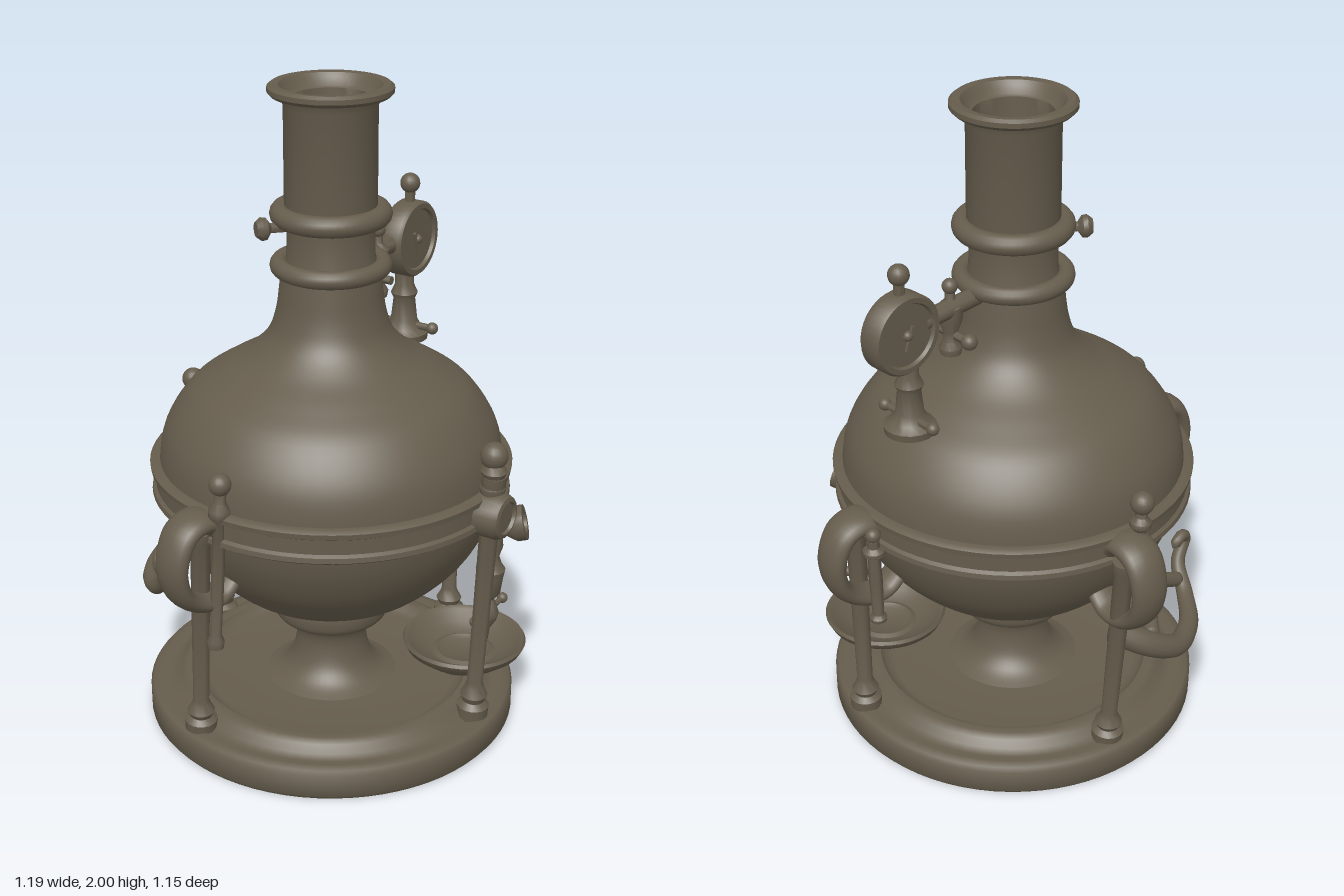
import * as THREE from 'three';
import { mergeVertices, toCreasedNormals } from 'three/addons/utils/BufferGeometryUtils.js';

const V = (x, y, z) => new THREE.Vector3(x, y, z);
const UP = V(0, 1, 0);

export function createModel() {
  const root = new THREE.Group();
  root.name = 'distillingVessel';
  const bronze = new THREE.MeshStandardMaterial({ color: 0x655c4c });
  bronze.name = 'darkBronze';

  const add = (name, geo, parent = root) => {
    const m = new THREE.Mesh(geo, bronze);
    m.name = name;
    parent.add(m);
    return m;
  };
  // Turned part from [radius, height] pairs, listed from bottom to top
  const turned = (pts, seg = 24) => toCreasedNormals(
    new THREE.LatheGeometry(pts.map(([r, y]) => new THREE.Vector2(r, y)), seg), 0.75);
  // Same, with the points joined by a smooth curve
  const smoothTurned = (pts, seg, n) => new THREE.LatheGeometry(
    new THREE.SplineCurve(pts.map(([r, y]) => new THREE.Vector2(r, y))).getPoints(n), seg);
  const ball = (name, r, p, parent) => {
    const m = add(name, new THREE.SphereGeometry(r, 16, 12), parent);
    m.position.copy(p);
    return m;
  };
  // Turned part set along the line a-b; heights are fractions of its length
  const spindle = (name, a, b, pts, parent) => {
    const d = b.clone().sub(a), len = d.length();
    const m = add(name, turned(pts.map(([r, t]) => [r, t * len]), 18), parent);
    m.position.copy(a);
    m.quaternion.setFromUnitVectors(UP, d.normalize());
    return m;
  };
  const rod = (name, a, b, r, parent) => spindle(name, a, b, [[0, 0], [r, 0], [r, 1], [0, 1]], parent);
  // Tapered tube with closed ends
  const taperedTube = (pts, radius, seg = 48, sides = 14) => {
    const curve = new THREE.CatmullRomCurve3(pts);
    const g = new THREE.TubeGeometry(curve, seg, 1, sides);
    const p = g.attributes.position, v = V(0, 0, 0);
    for (let i = 0; i <= seg; i++) {
      const c = curve.getPointAt(i / seg);
      const r = i === 0 || i === seg ? 0.0005 : radius(i / seg);
      for (let j = 0; j <= sides; j++) {
        const k = i * (sides + 1) + j;
        v.fromBufferAttribute(p, k).sub(c).multiplyScalar(r).add(c);
        p.setXYZ(k, v.x, v.y, v.z);
      }
    }
    g.deleteAttribute('uv');
    g.deleteAttribute('normal');
    const out = mergeVertices(g, 1e-5);
    out.computeVertexNormals();
    return out;
  };

  // Main axis of the vessel
  const core = new THREE.Group();
  core.name = 'vessel';
  core.position.set(-0.01, 0, 0.02);
  root.add(core);

  // Round base, dished underneath, with a raised inner ring on top
  add('base', turned([[0, 0.045], [0.15, 0.045], [0.17, 0.06], [0.48, 0.045], [0.53, 0.01], [0.565, 0.005],
    [0.577, 0.02], [0.577, 0.09], [0.567, 0.102], [0.54, 0.106], [0.515, 0.1], [0.49, 0.108], [0.475, 0.132],
    [0.455, 0.143], [0.43, 0.14], [0.415, 0.118], [0.39, 0.112], [0.2, 0.112], [0, 0.115]], 72), core);

  // Pedestal
  add('pedestal', smoothTurned([[0.21, 0.11], [0.16, 0.135], [0.125, 0.18], [0.11, 0.25], [0.125, 0.3],
    [0.17, 0.325], [0.182, 0.36], [0.182, 0.395], [0.19, 0.42], [0.25, 0.44]], 48, 40), core);

  // Bulb
  add('bulb', smoothTurned([[0.15, 0.4], [0.2, 0.41], [0.3, 0.45], [0.41, 0.55], [0.475, 0.65], [0.51, 0.75],
    [0.52, 0.85], [0.5, 0.97], [0.43, 1.08], [0.34, 1.145], [0.25, 1.2], [0.19, 1.26], [0.163, 1.33],
    [0.15, 1.42], [0.145, 1.47]], 72, 72), core);

  // Chimney with flared lip and hollow top
  add('chimney', turned([[0.145, 1.44], [0.13, 1.5], [0.128, 1.6], [0.135, 1.65], [0.135, 1.94], [0.145, 1.965],
    [0.17, 1.968], [0.18, 1.978], [0.18, 1.992], [0.17, 2], [0.148, 1.998], [0.138, 1.985], [0.125, 1.965],
    [0.115, 1.96], [0.112, 1.9], [0, 1.9]], 48), core);
  for (const [y, r, t] of [[1.625, 0.147, 0.031], [1.47, 0.152, 0.027]]) {
    const m = add('neckRing', new THREE.TorusGeometry(r, t, 14, 48), core);
    m.rotation.x = Math.PI / 2;
    m.position.y = y;
  }
  spindle('neckKnob', V(-0.13, 1.6, 0.05), V(-0.235, 1.6, 0.065),
    [[0, 0], [0.016, 0], [0.014, 0.6], [0.032, 0.72], [0.034, 0.85], [0.022, 1], [0, 1]]);

  // Band around the belly
  add('band', turned([[0.49, 0.77], [0.53, 0.765], [0.545, 0.775], [0.543, 0.79], [0.533, 0.797], [0.533, 0.842],
    [0.547, 0.85], [0.549, 0.866], [0.535, 0.875], [0.505, 0.872], [0.5, 0.86]], 72), core);

  // Legs: [foot, top]
  const legs = [
    [V(0.365, 0.1, 0.36), V(0.395, 0.93, 0.4)],
    [V(-0.46, 0.1, 0.27), V(-0.45, 0.8, 0.335)],
    [V(0.445, 0.1, -0.25), V(0.45, 0.8, -0.27)],
    [V(-0.305, 0.1, -0.39), V(-0.335, 0.8, -0.46)],
  ];
  for (const [a, b] of legs) {
    spindle('leg', a, b, [[0, 0], [0.048, 0], [0.05, 0.05], [0.034, 0.07], [0.042, 0.095], [0.03, 0.125],
      [0.024, 0.15], [0.029, 0.93], [0.036, 0.96], [0.036, 1], [0, 1]]);
  }

  // Finial and medallion over the front leg
  spindle('finialCup', V(0.393, 0.87, 0.395), V(0.395, 0.97, 0.4),
    [[0, 0], [0.035, 0], [0.04, 0.25], [0.028, 0.45], [0.04, 0.75], [0.025, 1], [0, 1]]);
  ball('finial', 0.041, V(0.395, 0.99, 0.395));
  spindle('medallion', V(0.37, 0.81, 0.385), V(0.428, 0.81, 0.443),
    [[0, 0], [0.07, 0], [0.07, 0.75], [0.062, 0.95], [0.05, 1], [0.046, 0.88], [0, 0.88]]);

  // Short hanging posts with knobs
  const postProfile = [[0, 0], [0.024, 0.01], [0.026, 0.05], [0.017, 0.09], [0.02, 0.5], [0.018, 0.8],
    [0.032, 0.84], [0.032, 0.88], [0.018, 0.92], [0.018, 1], [0, 1]];
  for (const [a, b, r] of [
    [V(-0.42, 0.43, 0.37), V(-0.395, 0.95, 0.385), 0.033],
    [V(-0.36, 0.58, -0.42), V(-0.38, 0.95, -0.41), 0.035],
    [V(0.375, 0.56, -0.43), V(0.38, 0.85, -0.44), 0.022],
  ]) {
    spindle('hangingPost', a, b, postProfile);
    ball('postKnob', r, b.clone().add(V(0, 0.015, 0)));
  }

  // Three strap handles, set radially; the strap is wider than thick
  const handle = taperedTube([V(0.49, 0.79, 0), V(0.545, 0.84, 0), V(0.62, 0.825, 0), V(0.66, 0.73, 0),
    V(0.635, 0.635, 0), V(0.565, 0.58, 0), V(0.49, 0.575, 0), V(0.43, 0.62, 0)], t => 0.037 - 0.013 * t, 48, 18);
  handle.scale(1, 1, 1.9);
  handle.computeVertexNormals();
  for (const [x, z] of [[-0.555, 0.41], [0.57, -0.45], [-0.41, -0.55]]) {
    const m = add('handle', handle, core);
    m.rotation.y = Math.atan2(-z, x);
  }

  // Drip dish
  const dish = add('dripDish', turned([[0, 0.11], [0.08, 0.11], [0.085, 0.135], [0.14, 0.155], [0.185, 0.19],
    [0.196, 0.212], [0.19, 0.222], [0.175, 0.215], [0.15, 0.185], [0.1, 0.168], [0.085, 0.175], [0.07, 0.165],
    [0, 0.165]], 40));
  dish.position.set(0.408, 0, 0.09);

  // Tap above the dish
  const tap = new THREE.Group();
  tap.name = 'tap';
  root.add(tap);
  rod('tapPipe', V(0.42, 0.65, 0.17), V(0.52, 0.66, 0.2), 0.028, tap);
  spindle('tapFlange', V(0.5, 0.655, 0.19), V(0.555, 0.67, 0.21),
    [[0, 0], [0.035, 0], [0.055, 0.5], [0.055, 1], [0.035, 1], [0.03, 0.6], [0, 0.6]], tap);
  spindle('tapStem', V(0.455, 0.24, 0.168), V(0.465, 0.65, 0.18),
    [[0, 0], [0.008, 0.02], [0.012, 0.12], [0.03, 0.2], [0.036, 0.26], [0.026, 0.33], [0.018, 0.38],
      [0.036, 0.44], [0.042, 0.58], [0.046, 0.64], [0.034, 0.68], [0.024, 0.75], [0.034, 0.84], [0.024, 1], [0, 1]], tap);
  rod('tapBar', V(0.4, 0.352, 0.235), V(0.525, 0.352, 0.105), 0.009, tap);
  ball('tapBarEnd', 0.017, V(0.4, 0.352, 0.235), tap);
  ball('tapBarEnd', 0.017, V(0.525, 0.352, 0.105), tap);

  // Curled side spout
  const spout = new THREE.Group();
  spout.name = 'spout';
  root.add(spout);
  add('spoutPipe', taperedTube([V(-0.3, 0.5, -0.37), V(-0.42, 0.44, -0.37), V(-0.51, 0.39, -0.31),
    V(-0.555, 0.385, -0.19), V(-0.55, 0.41, -0.07), V(-0.53, 0.48, 0), V(-0.55, 0.55, 0.03),
    V(-0.535, 0.575, 0), V(-0.51, 0.54, -0.02)], t => 0.044 - 0.028 * t), spout);
  add('spoutLoop', taperedTube([V(-0.43, 0.46, -0.36), V(-0.43, 0.48, -0.23), V(-0.46, 0.48, -0.12),
    V(-0.53, 0.44, -0.04)], () => 0.024), spout);

  // Dial gauge, edge-on to the neck, with a face on both sides
  const gauge = new THREE.Group();
  gauge.name = 'gauge';
  gauge.position.set(0.295, 1.435, -0.288);
  gauge.rotation.y = Math.atan2(0.72, 0.69);
  root.add(gauge);
  const drum = add('gaugeDrum', turned([[0, -0.027], [0.092, -0.027], [0.097, -0.037], [0.112, -0.037],
    [0.119, -0.028], [0.119, 0.028], [0.112, 0.037], [0.097, 0.037], [0.092, 0.027], [0, 0.027]], 40), gauge);
  drum.rotation.x = Math.PI / 2;
  for (const s of [1, -1]) {
    const needle = add('needle', new THREE.BoxGeometry(0.012, 0.075, 0.008), gauge);
    needle.position.set(-0.008, -0.012, s * 0.031);
    needle.rotation.z = 0.35;
    ball('needleHub', 0.015, V(0, 0, s * 0.03), gauge);
  }
  rod('gaugeNeck', V(0, 0.11, 0), V(0, 0.16, 0), 0.016, gauge);
  ball('gaugeBall', 0.031, V(0, 0.175, 0), gauge);
  spindle('gaugeStand', V(-0.025, -0.32, 0), V(-0.025, -0.1, 0),
    [[0, 0], [0.075, 0], [0.078, 0.1], [0.055, 0.17], [0.042, 0.28], [0.034, 0.6], [0.042, 0.68], [0.03, 0.8], [0.03, 1], [0, 1]], gauge);
  rod('gaugeBar', V(-0.02, -0.275, -0.1), V(-0.02, -0.275, 0.1), 0.011, gauge);
  for (const s of [1, -1]) ball('gaugeBarEnd', 0.019, V(-0.02, -0.275, s * 0.1), gauge);

  // Pipe and small valve between neck and gauge
  rod('gaugePipe', V(0.08, 1.45, -0.07), V(0.24, 1.44, -0.235), 0.028);
  spindle('valve', V(0.165, 1.3, -0.15), V(0.165, 1.5, -0.15),
    [[0, 0], [0.03, 0], [0.034, 0.1], [0.022, 0.2], [0.022, 0.35], [0.036, 0.55], [0.036, 0.75], [0.016, 0.85], [0.014, 1], [0, 1]]);
  ball('valveBall', 0.023, V(0.165, 1.51, -0.15));
  rod('valveBar', V(0.11, 1.36, -0.2), V(0.2, 1.36, -0.11), 0.013);
  ball('valveBarEnd', 0.024, V(0.11, 1.36, -0.2));

  return root;
}
